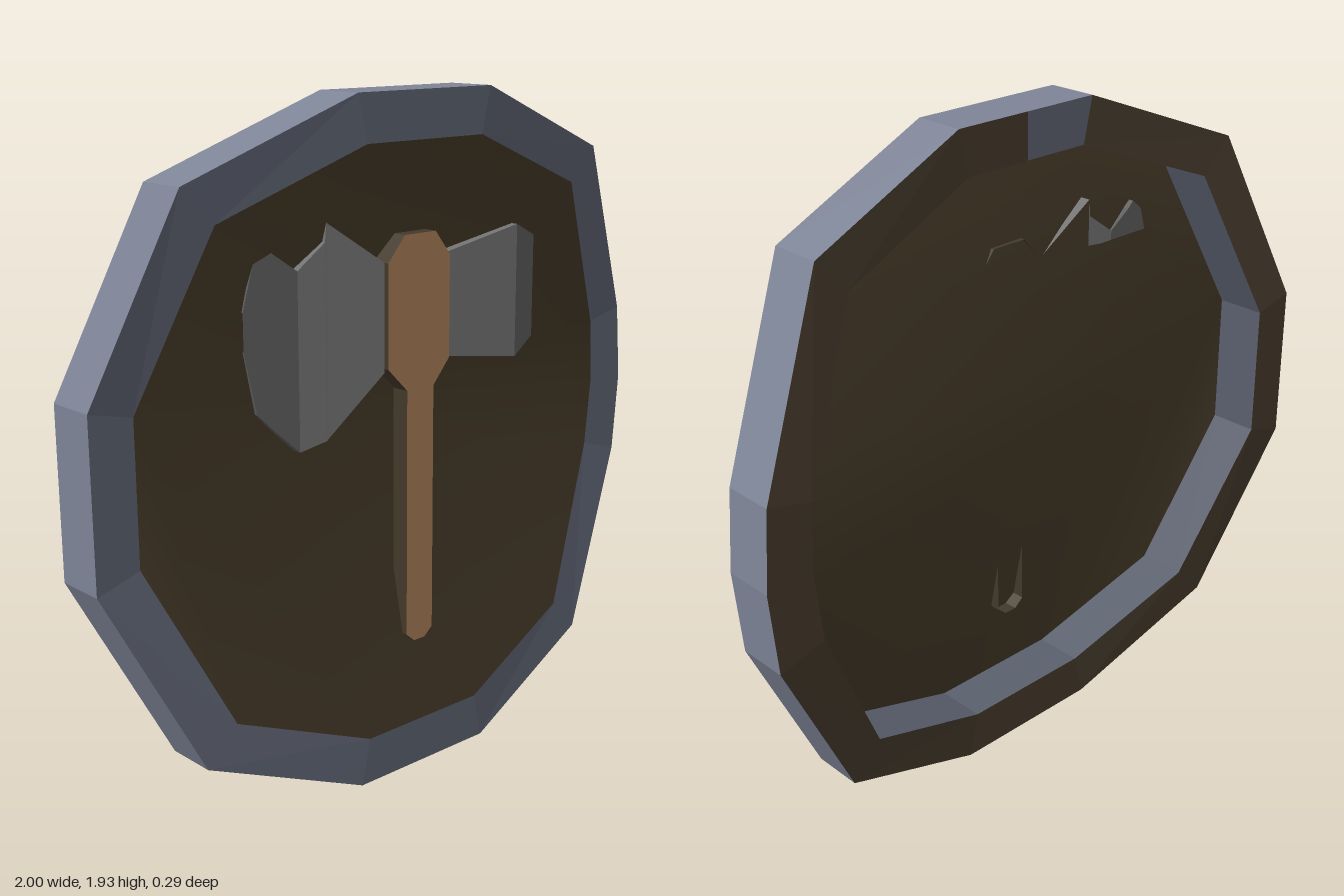
import * as THREE from 'three';

const mat = (color, side = THREE.FrontSide, flatShading = true) =>
  new THREE.MeshStandardMaterial({ color, side, flatShading, roughness: 0.9 });

// Collects convex polygons (lists of corners, counter-clockwise) into one flat-shaded mesh.
function polyMesh(name, polys, material) {
  const pos = [];
  for (const p of polys)
    for (let i = 1; i < p.length - 1; i++) pos.push(...p[0], ...p[i], ...p[i + 1]);
  const geo = new THREE.BufferGeometry();
  geo.setAttribute('position', new THREE.Float32BufferAttribute(pos, 3));
  geo.computeVertexNormals();
  const mesh = new THREE.Mesh(geo, material);
  mesh.name = name;
  return mesh;
}

// Rim corners, counter-clockwise from the right: outer x, y, inner x, y, front z
const RIM = [
  [1.0, 0.97, 0.86, 0.97, 0.005], [0.98, 1.2, 0.85, 1.17, 0.005],
  [0.74, 1.73, 0.645, 1.63, 0.085], [0.23, 1.93, 0.2, 1.8, 0.145],
  [-0.01, 1.93, -0.01, 1.8, 0.145], [-0.25, 1.93, -0.22, 1.8, 0.145],
  [-0.765, 1.73, -0.665, 1.63, 0.085], [-1.0, 1.2, -0.87, 1.17, 0.005],
  [-1.0, 0.73, -0.87, 0.77, 0.005], [-0.74, 0.2, -0.64, 0.3, 0.085],
  [-0.25, 0, -0.22, 0.135, 0.145], [0.23, 0, 0.2, 0.135, 0.145],
  [0.715, 0.2, 0.62, 0.3, 0.085], [0.98, 0.73, 0.84, 0.77, 0.005],
];
const DEPTH = 0.15;
const FAN = 7; // rim corner from which the panel facets spread
const BACK = 0.07; // z of the emblem's back

// Lofts a section along x; each station is [x, bottom y, top y, front z].
// The back is left off where the part only rests on the panel.
function loft(name, stations, hasBack, material) {
  const rings = stations.map(([x, y0, y1, z]) =>
    [[x, y0, z], [x, y1, z], [x, y1, BACK], [x, y0, BACK]]);
  const polys = [];
  for (let i = 0; i < rings.length - 1; i++) {
    const a = rings[i], b = rings[i + 1];
    for (let k = 0; k < 4; k++) {
      const n = (k + 1) % 4;
      if (k !== 2 || hasBack) polys.push([a[k], b[k], b[n], a[n]]);
    }
  }
  return polyMesh(name, polys, material);
}

export function createModel() {
  const group = new THREE.Group();
  group.name = 'shield';
  const metal = mat(0x7d8496);
  const darkMetal = mat(0x5a5f6d);
  const darkWood = mat(0x43382a);
  const panelWood = mat(0x403524, THREE.DoubleSide, false);
  const steel = mat(0x727272);
  const darkSteel = mat(0x5a5a5a);
  const wood = mat(0xa27752);

  // Bent rim: metal front and walls, wooden back with one metal patch
  const oF = RIM.map(r => [r[0], r[1], r[4]]);
  const iF = RIM.map(r => [r[2], r[3], r[4]]);
  const oB = oF.map(([x, y, z]) => [x, y, z - DEPTH]);
  const iB = iF.map(([x, y, z]) => [x, y, z - DEPTH]);
  const edge = [], face = [], back = [];
  for (let i = 0; i < RIM.length; i++) {
    const j = (i + 1) % RIM.length;
    edge.push([oF[i], oB[i], oB[j], oF[j]]);
    face.push([oF[i], oF[j], iF[j], iF[i]], [iF[i], iF[j], iB[j], iB[i]]);
    (i === 4 ? face : back).push([iB[i], iB[j], oB[j], oB[i]]);
  }
  group.add(polyMesh('rimEdge', edge, metal));
  group.add(polyMesh('rimFace', face, darkMetal));
  group.add(polyMesh('rimBack', back, darkWood));

  // Thin smooth panel fanned across the front of the rim
  const index = [];
  for (let k = 1; k < RIM.length - 1; k++)
    index.push(FAN, (FAN + k) % RIM.length, (FAN + k + 1) % RIM.length);
  const panelGeo = new THREE.BufferGeometry();
  panelGeo.setAttribute('position', new THREE.Float32BufferAttribute(iF.flat(), 3));
  panelGeo.setIndex(index);
  panelGeo.computeVertexNormals();
  const panel = new THREE.Mesh(panelGeo, panelWood);
  panel.name = 'panel';
  group.add(panel);

  // Axe handle: a light front with dark sides, open at the back
  const axe = new THREE.Group();
  axe.name = 'axeEmblem';
  const outline = [
    [-0.06, 0.4], [-0.03, 0.375], [0.01, 0.375], [0.04, 0.4], [0.04, 1.12], [0.1, 1.19],
    [0.1, 1.48], [0.045, 1.55], [-0.07, 1.55], [-0.13, 1.48], [-0.13, 1.19], [-0.06, 1.12],
  ];
  const front = outline.map(p => [...p, 0.125]);
  const rear = outline.map(p => [...p, BACK]);
  axe.add(polyMesh('axeHandleFront',
    [[...front.slice(0, 5), front[11]], front.slice(4)], wood));
  axe.add(polyMesh('axeHandleSides', front.map((p, i) => {
    const j = (i + 1) % front.length;
    return [p, rear[i], rear[j], front[j]];
  }), mat(0x43382a, THREE.DoubleSide)));

  // Neck, curved blade and its darker cutting edge
  axe.add(loft('axeNeck', [
    [-0.325, 1.03, 1.605, 0.102], [-0.13, 1.18, 1.48, 0.11],
  ], false, steel));
  axe.add(loft('axeBlade', [
    [-0.42, 1.01, 1.49, 0.098], [-0.33, 1.025, 1.555, 0.102], [-0.325, 1.03, 1.605, 0.102],
  ], true, steel));
  axe.add(loft('axeCuttingEdge', [
    [-0.58, 1.3, 1.4, 0.075], [-0.545, 1.13, 1.53, 0.08], [-0.51, 1.095, 1.56, 0.085],
    [-0.49, 1.075, 1.54, 0.088], [-0.42, 1.01, 1.49, 0.098],
  ], true, darkSteel));

  // Blunt hammer end with a bevelled face and a wooden end strip
  axe.add(loft('axePoll', [
    [0.1, 1.19, 1.48, 0.1], [0.405, 1.14, 1.53, 0.092],
  ], false, steel));
  axe.add(loft('axePollBevel', [
    [0.405, 1.14, 1.53, 0.092], [0.487, 1.19, 1.49, 0.082],
  ], false, darkSteel));
  axe.add(polyMesh('axePollEnd', [[
    [0.487, 1.19, 0.082], [0.487, 1.19, BACK], [0.487, 1.49, BACK], [0.487, 1.49, 0.082],
  ]], wood));

  group.add(axe);
  return group;
}
